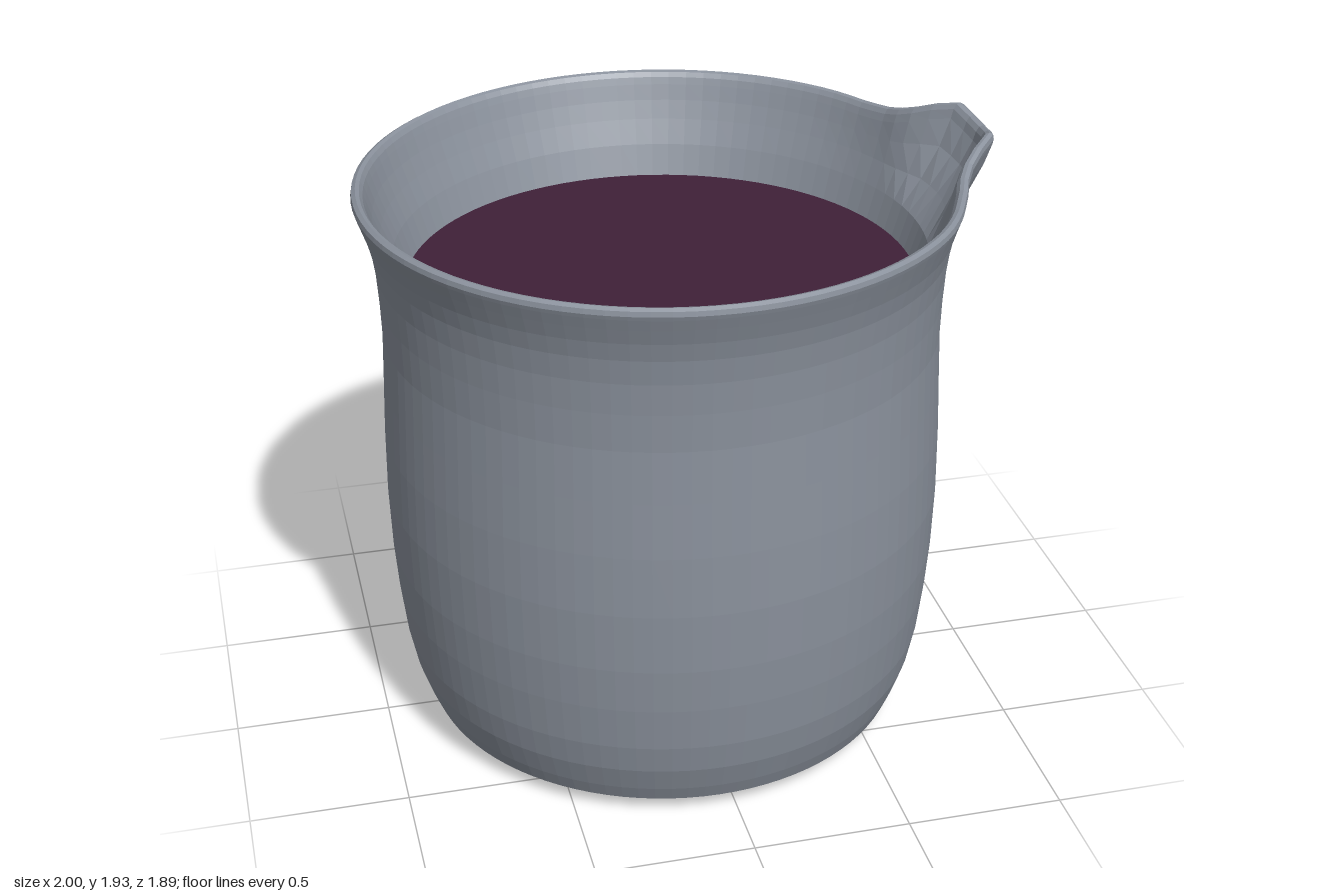
import * as THREE from 'three';

const AXIS_X = -0.055; // cup axis, shifted so that cup and spout are centred together
const RIM_R = 0.945;

// Piecewise linear interpolation through [position, value] pairs
function sample(table, t) {
  for (let i = 1; i < table.length; i++) {
    const [a, va] = table[i - 1], [b, vb] = table[i];
    if (t <= b) return THREE.MathUtils.mapLinear(t, a, b, va, vb);
  }
  return table[table.length - 1][1];
}

// Spout shape by sideways distance from its middle
const spoutReach = [[0, 0.11], [0.1, 0.1], [0.15, 0.077], [0.21, 0.018], [0.3, -0.006], [0.42, -0.008], [0.6, 0]];
const spoutLift = [[0, 0.066], [0.06, 0.075], [0.125, 0.096], [0.17, 0.084], [0.2, 0.068], [0.28, 0.035], [0.36, 0.012], [0.46, 0]];

// Pull the lip outwards and upwards around +x
function shapeSpout(geometry) {
  const p = geometry.attributes.position;
  for (let i = 0; i < p.count; i++) {
    const x = p.getX(i), y = p.getY(i), z = p.getZ(i);
    if (x <= 0 || y < 1.6) continue;
    const r = Math.hypot(x, z);
    const side = Math.abs(z) / r * RIM_R;
    const k = 1 + sample(spoutReach, side) * THREE.MathUtils.smoothstep(y, 1.6, 1.8) / r;
    const lift = sample(spoutLift, side) * THREE.MathUtils.smoothstep(y, 1.66, 1.82);
    p.setXYZ(i, x * k, y + lift, z * k);
  }
}

function createCup() {
  // Outer wall upwards, over the beaded rim, inner wall down to the floor
  const profile = [
    [0, 0], [0.4, 0.008], [0.68, 0.025], [0.785, 0.055],
    [0.808, 0.11], [0.838, 0.2], [0.858, 0.3], [0.875, 0.45], [0.886, 0.6], [0.892, 0.8],
    [0.889, 1.0], [0.882, 1.18], [0.876, 1.35], [0.879, 1.47], [0.885, 1.57], [0.896, 1.65],
    [0.911, 1.71], [0.928, 1.76], [0.941, 1.797], [0.945, 1.81], [0.942, 1.825], [0.93, 1.832],
    [0.918, 1.828], [0.908, 1.813], [0.9, 1.79], [0.884, 1.74], [0.862, 1.68], [0.83, 1.6], [0.798, 1.5],
    [0.79, 1.3], [0.8, 0.8], [0.77, 0.3], [0.7, 0.12], [0, 0.1],
  ].map(([r, y]) => new THREE.Vector2(r, y));
  const geometry = new THREE.LatheGeometry(profile, 96);
  shapeSpout(geometry);
  geometry.computeVertexNormals();
  const cup = new THREE.Mesh(geometry, new THREE.MeshStandardMaterial({ color: 0x8a919c, flatShading: true }));
  cup.name = 'cup';
  return cup;
}

function createLiquid() {
  const geometry = new THREE.CircleGeometry(0.798, 96).rotateX(-Math.PI / 2);
  const liquid = new THREE.Mesh(geometry, new THREE.MeshStandardMaterial({ color: 0x3f2038, side: THREE.DoubleSide }));
  liquid.name = 'liquid';
  liquid.position.y = 1.5;
  return liquid;
}

export function createModel() {
  const model = new THREE.Group();
  model.name = 'spoutedCup';
  model.add(createCup(), createLiquid());
  model.children.forEach((part) => { part.position.x = AXIS_X; });
  return model;
}
